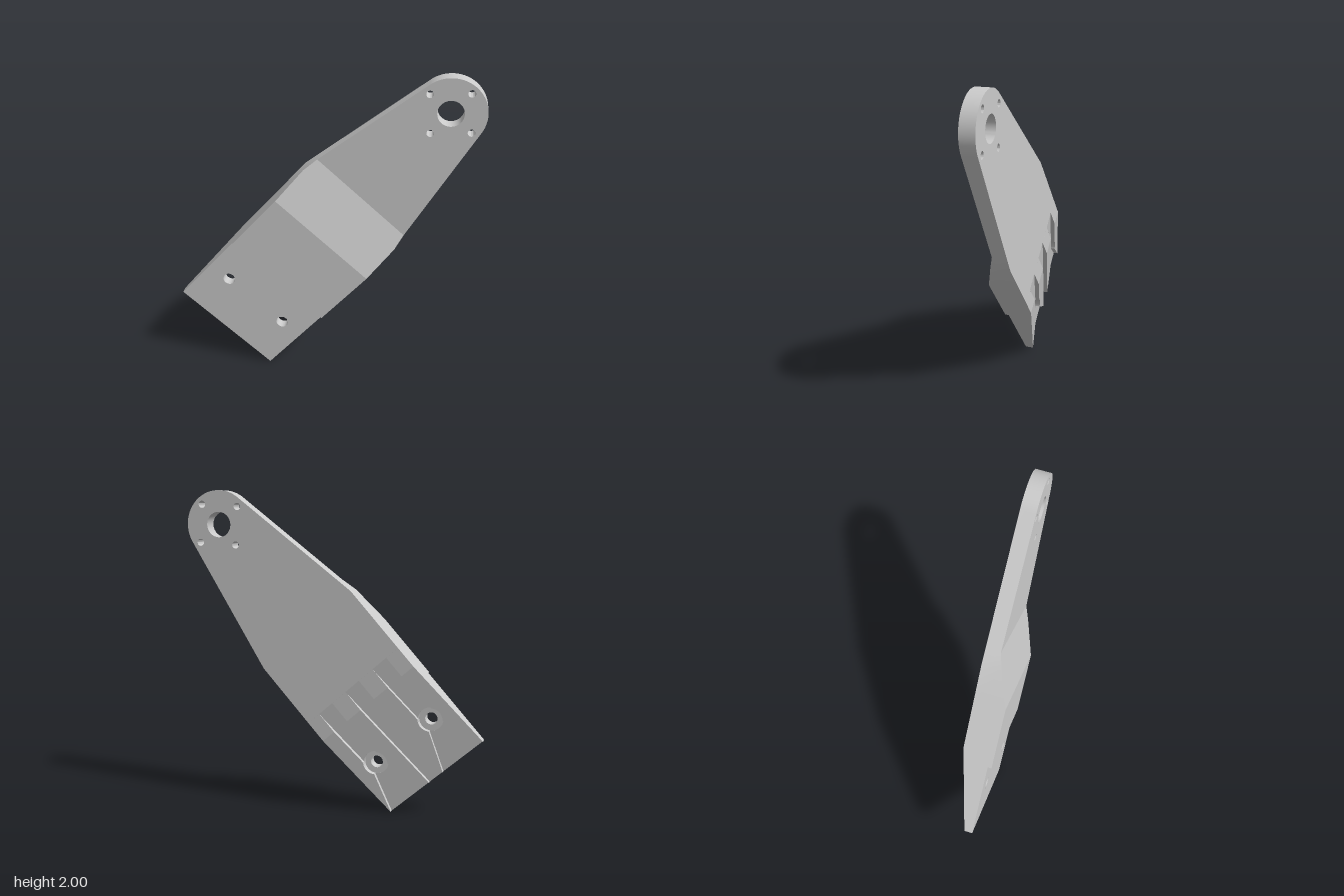
import * as THREE from 'three';
import { toCreasedNormals } from 'three/addons/utils/BufferGeometryUtils.js';

// Arm is drawn upright (x across, y along its length), then tilted.
const W = 0.377;                       // half width of the foot
const KINK = 1.2, TIP = 2.056, TIP_R = 0.21;
const STEP = 0.528, TAPER = 0.615, GROOVE_END = 0.759, BEND0 = 0.956, BEND1 = 1.3;
const FOOT = 0.074, FRONT = 0.098, THIN = -0.006, BACK = -0.098;
const GROOVE_X = 0.226, GROOVE_HALF = 0.056;
const BOLT_Y = 0.303, BOLT_R = 0.038, BORE_R = 0.075, BORE_Z = 0.006;

const material = new THREE.MeshStandardMaterial({ color: 0xcccccc });
const flat = (z) => () => z;
const taper = (y) => 0.022 - (0.12 * y) / TAPER;   // sloped back of the foot
const grooveFloor = (y) => taper(y) + 0.028;
const ramp = (y) => FRONT + ((THIN - FRONT) * (y - BEND0)) / (BEND1 - BEND0);

// Extrudes an outline between a back plane and a front plane, each given as z(y)
function slab(name, shape, front, back) {
  const geo = new THREE.ExtrudeGeometry(shape, { depth: 1, bevelEnabled: false, curveSegments: 24 });
  const p = geo.attributes.position;
  for (let i = 0; i < p.count; i++) {
    const y = p.getY(i);
    p.setZ(i, p.getZ(i) > 0.5 ? front(y) : back(y));
  }
  const mesh = new THREE.Mesh(toCreasedNormals(geo, 0.5), material);
  mesh.name = name;
  return mesh;
}

const polygon = (pts) => new THREE.Shape(pts.map(([x, y]) => new THREE.Vector2(x, y)));
const band = (x0, x1, y0, y1) => polygon([[x0, y0], [x1, y0], [x1, y1], [x0, y1]]);

function addHole(shape, x, y, r) {
  const hole = new THREE.Path();
  hole.absarc(x, y, r, 0, Math.PI * 2, true);
  shape.holes.push(hole);
}

// Rib outline with an arc bitten out of its groove side by the counterbore
function ribShape(grooveSide, farSide, boreX) {
  const a = Math.acos(GROOVE_HALF / BORE_R);
  const right = grooveSide > boreX;
  const shape = new THREE.Shape();
  shape.moveTo(grooveSide, 0);
  if (right) shape.absarc(boreX, BOLT_Y, BORE_R, -a, a, false);
  else shape.absarc(boreX, BOLT_Y, BORE_R, Math.PI + a, Math.PI - a, true);
  shape.lineTo(grooveSide, TAPER);
  shape.lineTo(farSide, TAPER);
  shape.lineTo(farSide, 0);
  return shape;
}

export function createModel() {
  const arm = new THREE.Group();
  arm.name = 'arm';

  // Foot plate, open where the counterbores pass
  const foot = band(-W, W, 0, STEP);
  for (const s of [-1, 1]) addHole(foot, s * GROOVE_X, BOLT_Y, BORE_R);
  arm.add(slab('footPlate', foot, flat(FOOT), grooveFloor));

  for (const s of [-1, 1]) {
    const c = s * GROOVE_X;
    // Counterbore seat with its bolt hole
    const seat = new THREE.Shape();
    seat.absarc(c, BOLT_Y, BORE_R, 0, Math.PI * 2, false);
    addHole(seat, c, BOLT_Y, BOLT_R);
    arm.add(slab('boltSeat', seat, flat(FOOT), flat(BORE_Z)));

    // Ribs standing between the three back grooves
    const ribs = [
      ['outerRib', s * (GROOVE_X + GROOVE_HALF), s * W],
      ['innerRib', s * (GROOVE_X - GROOVE_HALF), s * GROOVE_HALF],
    ];
    for (const [name, g, f] of ribs) {
      arm.add(slab(name, ribShape(g, f, c), grooveFloor, taper));
      arm.add(slab(name + 'End', band(g, f, TAPER, GROOVE_END), grooveFloor, flat(BACK)));
    }
  }

  // Thick middle of the arm
  arm.add(slab('grooveBlock', band(-W, W, STEP, GROOVE_END), flat(FRONT), grooveFloor));
  arm.add(slab('middleBlock', band(-W, W, GROOVE_END, BEND0), flat(FRONT), flat(BACK)));

  // Tangent from the kink to the rounded tip
  const dy = TIP - KINK;
  const theta = Math.acos(TIP_R / Math.hypot(W, dy)) - Math.atan2(dy, W);
  const tx = TIP_R * Math.cos(theta), ty = TIP + TIP_R * Math.sin(theta);
  const bendW = W + ((tx - W) * (BEND1 - KINK)) / (ty - KINK);

  // Sloped front between thick and thin parts
  arm.add(slab('ramp', polygon([
    [-W, BEND0], [W, BEND0], [W, KINK], [bendW, BEND1], [-bendW, BEND1], [-W, KINK],
  ]), ramp, flat(BACK)));

  // Thin tapered end with centre hole and four screw holes
  const end = new THREE.Shape();
  end.moveTo(-bendW, BEND1);
  end.lineTo(bendW, BEND1);
  end.absarc(0, TIP, TIP_R, theta, Math.PI - theta, false);
  addHole(end, 0, TIP, 0.078);
  for (let i = 0; i < 4; i++) {
    const a = (i * Math.PI) / 2;
    addHole(end, 0.166 * Math.cos(a), TIP + 0.166 * Math.sin(a), 0.022);
  }
  arm.add(slab('tipPlate', end, flat(THIN), flat(BACK)));

  arm.rotation.z = -0.726;
  arm.position.set(-0.65, 0.251, 0);
  const model = new THREE.Group();
  model.name = 'bracketArm';
  model.add(arm);
  return model;
}
